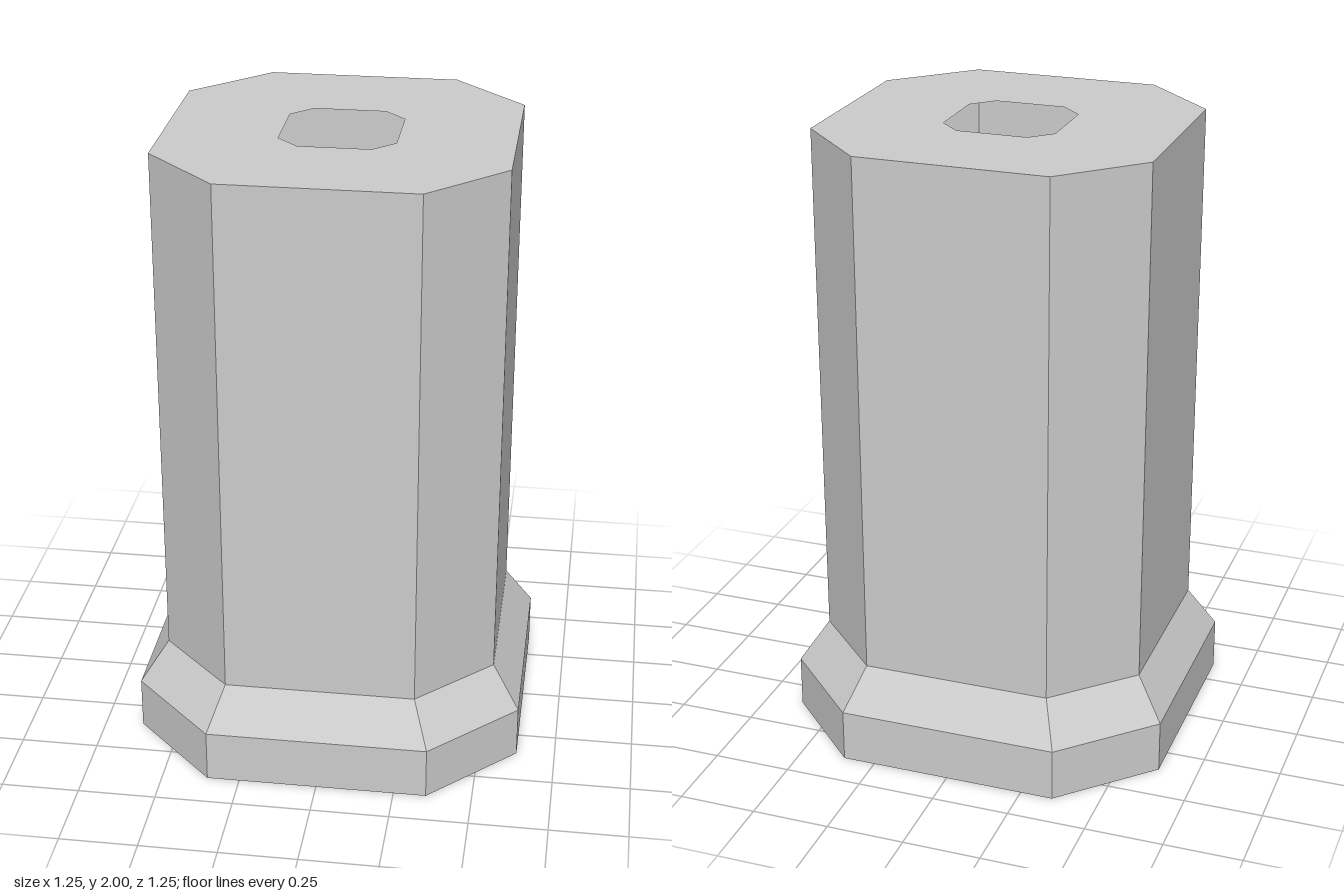
import * as THREE from 'three';

// Corners of a chamfered square: half width w, half length of the flat sides f
function octagon(w, f) {
  return [[w, -f], [w, f], [f, w], [-f, w], [-w, f], [-w, -f], [-f, -w], [f, -w]]
    .map(([x, y]) => new THREE.Vector2(x, y));
}

// Band of eight flat faces joining two octagons at heights y0 and y1
function band(lower, y0, upper, y1) {
  const positions = [];
  for (let i = 0; i < 8; i++) {
    const j = (i + 1) % 8;
    const a = [lower[i].x, y0, -lower[i].y];
    const b = [lower[j].x, y0, -lower[j].y];
    const c = [upper[j].x, y1, -upper[j].y];
    const d = [upper[i].x, y1, -upper[i].y];
    positions.push(...a, ...b, ...c, ...a, ...c, ...d);
  }
  const geometry = new THREE.BufferGeometry();
  geometry.setAttribute('position', new THREE.Float32BufferAttribute(positions, 3));
  geometry.computeVertexNormals();
  return geometry;
}

export function createModel() {
  const model = new THREE.Group();
  model.name = 'hollowColumn';
  const grey = new THREE.MeshStandardMaterial({ color: 0xcccccc, side: THREE.DoubleSide, flatShading: true });
  grey.name = 'lightGrey';

  const add = (name, geometry) => {
    const mesh = new THREE.Mesh(geometry, grey);
    mesh.name = name;
    model.add(mesh);
  };

  const foot = octagon(0.626, 0.354);
  const body = octagon(0.538, 0.304);

  // Thin outer shell, open underneath
  add('footRim', band(foot, 0, foot, 0.17));
  add('footSlope', band(foot, 0.17, body, 0.305));
  add('columnWall', band(body, 0.305, body, 2));

  // Top plate with a chamfered square opening
  const top = new THREE.Shape(body);
  top.holes.push(new THREE.Path(octagon(0.18, 0.113).reverse()));
  add('topPlate', new THREE.ShapeGeometry(top).rotateX(-Math.PI / 2).translate(0, 2, 0));

  return model;
}
